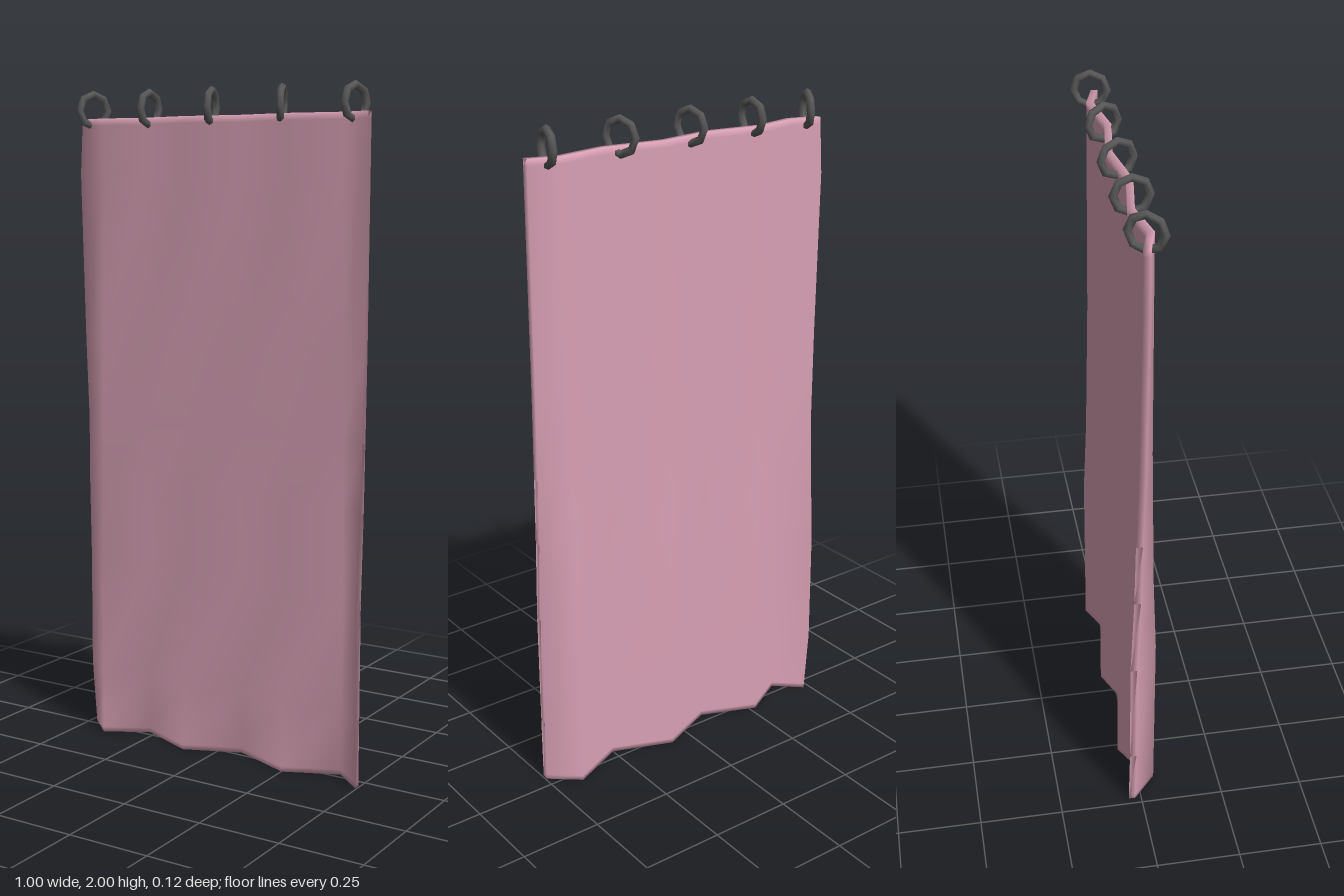
import * as THREE from 'three';
import { mergeVertices } from 'three/addons/utils/BufferGeometryUtils.js';

// Linear interpolation through [position, value] pairs in ascending order
function sample(pairs, t) {
  for (let i = 1; i < pairs.length; i++) {
    const [a, va] = pairs[i - 1], [b, vb] = pairs[i];
    if (t <= b) return va + (vb - va) * (t - a) / (b - a);
  }
  return pairs[pairs.length - 1][1];
}

export function createModel() {
  const group = new THREE.Group();
  const pinkCloth = new THREE.MeshStandardMaterial({ color: 0xd8a0b4 });
  pinkCloth.name = 'pinkCloth';
  const darkMetal = new THREE.MeshStandardMaterial({ color: 0x585858 });
  darkMetal.name = 'darkMetal';

  // Cloth: a thin box folded into a zigzag that deepens towards the hem
  const folds = [-0.495, -0.4, -0.27, -0.1, 0.07, 0.25, 0.41, 0.495];
  const levels = [0, 0.015, 0.2, 0.55, 0.8, 1.0, 1.25, 1.75, 1.895, 1.915];
  const depth = [[0, 0.036], [0.55, 0.036], [0.8, 0.026], [1.25, 0.017], [1.915, 0.013]];
  const leftEdge = [[0, -0.48], [0.2, -0.495], [0.6, -0.493], [1.0, -0.485], [1.25, -0.49], [1.75, -0.5], [1.915, -0.49]];
  const thickness = 0.02;

  let cloth = new THREE.BoxGeometry(1, 1, 1, folds.length - 1, levels.length - 1, 1);
  const p = cloth.attributes.position;
  for (let i = 0; i < p.count; i++) {
    const col = Math.round((p.getX(i) + 0.5) * (folds.length - 1));
    const row = Math.round((p.getY(i) + 0.5) * (levels.length - 1));
    const y = levels[row];
    const x = col === 0 ? sample(leftEdge, y) : folds[col];
    const side = col % 2 ? 1 : -1;
    p.setXYZ(i, x, y, 0.007 + side * sample(depth, y) + p.getZ(i) * thickness);
  }
  cloth.deleteAttribute('normal');
  cloth.deleteAttribute('uv');
  cloth = mergeVertices(cloth);
  cloth.computeVertexNormals();
  const curtain = new THREE.Mesh(cloth, pinkCloth);
  curtain.name = 'curtain';
  group.add(curtain);

  // Hanging rings: x position and twist of each
  const ringGeometry = new THREE.TorusGeometry(0.048, 0.012, 6, 8);
  const rings = [[-0.45, -0.45], [-0.245, 0], [-0.027, 0.28], [0.208, 0.4], [0.44, -0.22]];
  rings.forEach(([x, twist], i) => {
    const ring = new THREE.Mesh(ringGeometry, darkMetal);
    ring.name = `curtainRing${i + 1}`;
    ring.position.set(x, 1.94, 0);
    ring.rotation.y = Math.PI / 2 + twist;
    group.add(ring);
  });

  return group;
}
